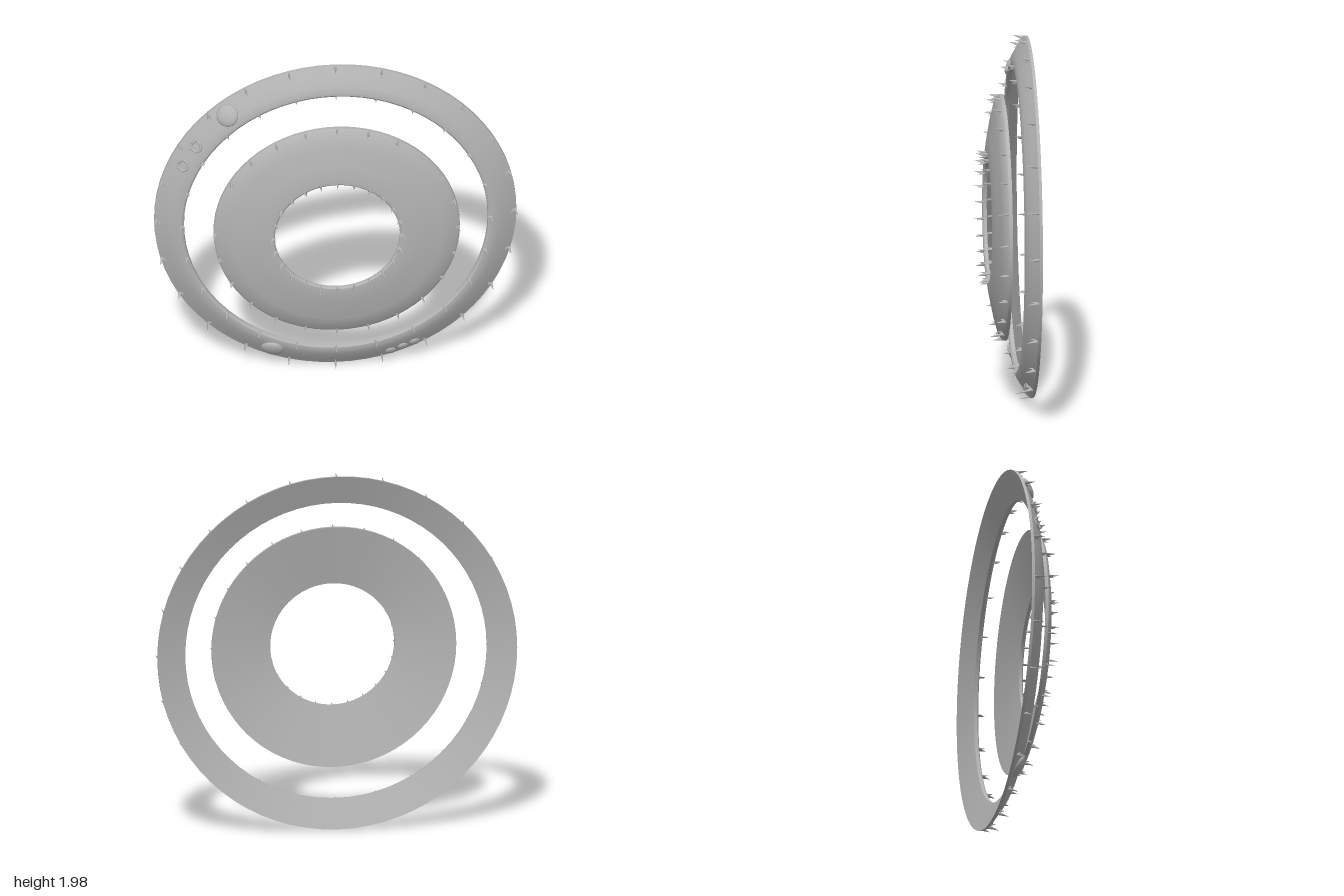
import * as THREE from 'three';
import { toCreasedNormals } from 'three/addons/utils/BufferGeometryUtils.js';

const CENTRE_Y = 1.003;

export function createModel() {
  const model = new THREE.Group();
  model.name = 'spikedRings';
  const grey = new THREE.MeshStandardMaterial({ color: 0xb3b3b3 });
  grey.name = 'grey';

  const add = (parent, geometry, name) => {
    const mesh = new THREE.Mesh(geometry, grey);
    mesh.name = name;
    parent.add(mesh);
    return mesh;
  };

  const assembly = new THREE.Group();
  assembly.name = 'rings';
  assembly.position.y = CENTRE_Y;
  model.add(assembly);

  // Dished ring turned round the z axis; profile points are [radius, z]
  const dish = (name, profile) => {
    const points = [...profile, profile[0]].map(([r, z]) => new THREE.Vector2(r, z));
    const geometry = new THREE.LatheGeometry(points, 72);
    geometry.rotateX(Math.PI / 2);
    add(assembly, toCreasedNormals(geometry, 0.6), name);
  };

  dish('outerRing', [
    [0.985, -0.14], [0.985, -0.124], [0.945, -0.098], [0.89, -0.064],
    [0.855, -0.051], [0.838, -0.051], [0.828, -0.058], [0.825, -0.078],
  ]);
  dish('innerDisc', [
    [0.67, 0], [0.67, 0.018], [0.655, 0.033], [0.57, 0.056],
    [0.45, 0.08], [0.37, 0.093], [0.348, 0.092], [0.34, 0.085], [0.34, 0.07],
  ]);

  // Cone between two [radius, z] points, flattened across the ring
  const thorn = (parent, base, tip, width) => {
    const dr = tip[0] - base[0], dz = tip[1] - base[1];
    const length = Math.hypot(dr, dz);
    const geometry = new THREE.ConeGeometry(width, length, 6);
    geometry.translate(0, length / 2, 0);
    geometry.scale(1, 1, 0.6);
    geometry.rotateX(Math.PI / 2);
    geometry.rotateY(Math.atan2(dr, dz));
    geometry.rotateX(0);
    geometry.translate(base[0], 0, base[1]);
    add(parent, geometry, 'thorn');
  };

  // Row of 24 thorns, each with a small side barb
  const thornRow = (name, r, z, lean, height) => {
    const row = new THREE.Group();
    row.name = name;
    for (let i = 0; i < 24; i++) {
      const spike = new THREE.Group();
      spike.name = 'spike';
      spike.rotation.z = i * Math.PI / 12;
      thorn(spike, [r, z], [r + lean, z + height], 0.013);
      thorn(spike, [r - lean * 0.3, z], [r - lean * 0.9, z + height * 0.7], 0.009);
      row.add(spike);
    }
    assembly.add(row);
  };
  thornRow('outerRingRimThorns', 0.972, -0.126, 0.018, 0.068);
  thornRow('outerRingInnerThorns', 0.838, -0.06, 0.012, 0.05);
  thornRow('discRimThorns', 0.657, 0.015, 0.012, 0.063);
  thornRow('discInnerThorns', 0.35, 0.085, 0.014, 0.058);

  // Fittings are tilted to lie on the sloping front of the outer ring
  const fitting = (x, y, name) => {
    const dx = x, dy = y - CENTRE_Y;
    const r = Math.hypot(dx, dy);
    const turn = new THREE.Group();
    turn.name = name;
    turn.rotation.z = Math.atan2(dy, dx);
    const mount = new THREE.Group();
    mount.name = 'mount';
    mount.position.set(r, 0, -0.064 - (r - 0.89) * 0.62);
    mount.rotation.y = 0.55;
    turn.add(mount);
    assembly.add(turn);
    return mount;
  };

  // Low domes
  const domes = [
    [-0.59, 1.71, 0.062], [-0.345, 0.155, 0.062],
    [0.3, 0.1, 0.03], [0.365, 0.13, 0.03], [0.43, 0.155, 0.03],
  ];
  for (const [x, y, radius] of domes) {
    const geometry = new THREE.SphereGeometry(radius, 24, 16);
    geometry.scale(1, 1, 0.4);
    add(fitting(x, y, 'domeFitting'), geometry, 'dome');
  }

  // Small studded collars
  for (const [x, y] of [[-0.76, 1.513], [-0.83, 1.39]]) {
    const mount = fitting(x, y, 'collarFitting');
    add(mount, new THREE.TorusGeometry(0.029, 0.008, 8, 20), 'collar');
    for (let i = 0; i < 6; i++) {
      const a = i * Math.PI / 3;
      const stud = add(mount, new THREE.ConeGeometry(0.007, 0.022, 6), 'stud');
      stud.rotation.x = Math.PI / 2;
      stud.position.set(0.033 * Math.cos(a), 0.033 * Math.sin(a), 0.013);
    }
  }
  return model;
}
